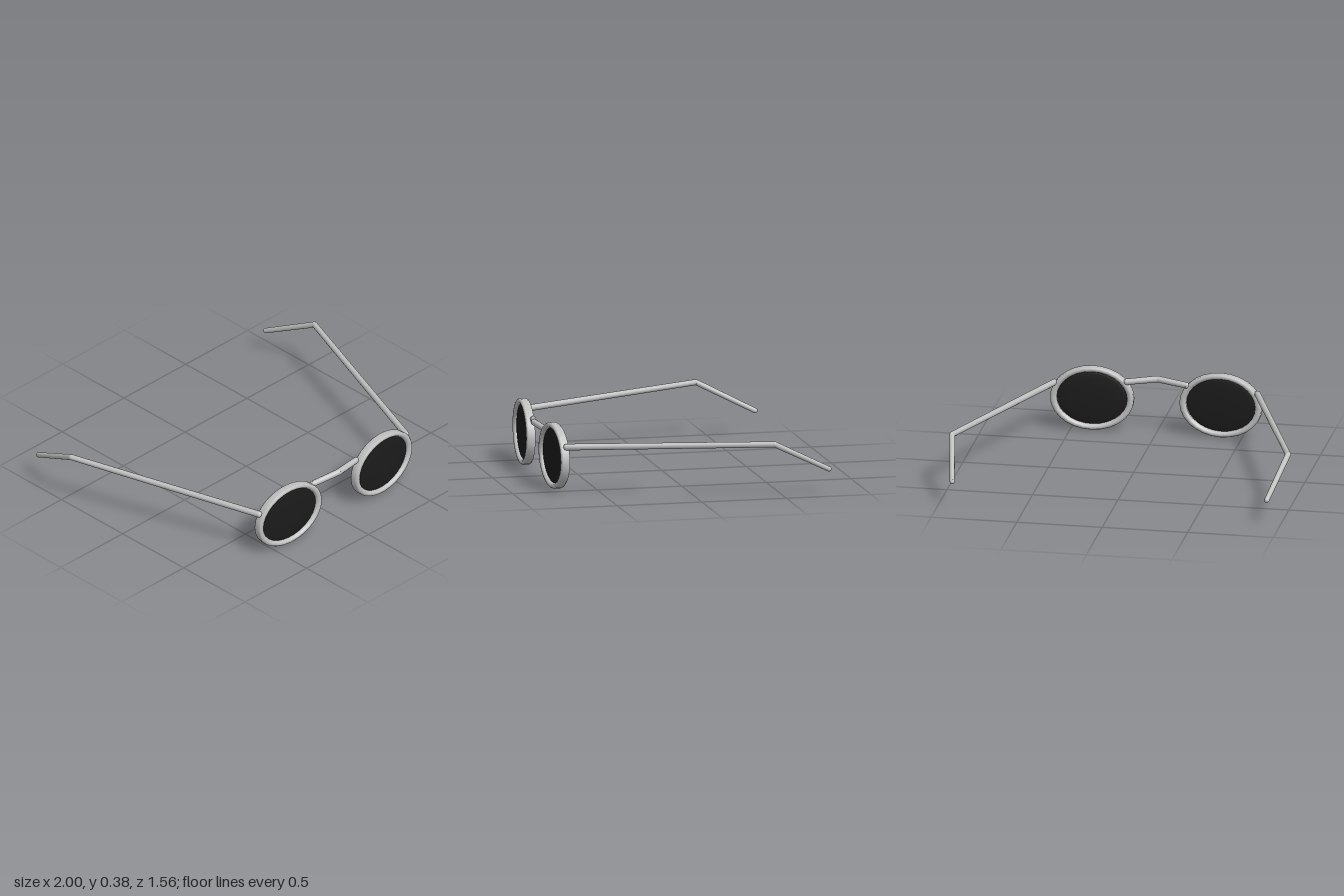
import * as THREE from 'three';

const V = (x, y, z) => new THREE.Vector3(x, y, z);

export function createModel() {
  const model = new THREE.Group();
  model.name = 'roundSunglasses';
  const metal = new THREE.MeshStandardMaterial({ color: 0xc0c0c0 });
  metal.name = 'silver frame';
  const tint = new THREE.MeshStandardMaterial({ color: 0x1b1b1b });
  tint.name = 'dark lens';

  function add(parent, geometry, material, name) {
    const mesh = new THREE.Mesh(geometry, material);
    mesh.name = name;
    parent.add(mesh);
    return mesh;
  }

  // Round wire through the given points, with a ball at each bend and tip
  function wire(name, points, radii) {
    const group = new THREE.Group();
    group.name = name;
    points.forEach((p, i) => {
      const ball = add(group, new THREE.SphereGeometry(radii[i], 12, 8), metal, name + 'Joint');
      ball.position.copy(p);
      if (i === 0) return;
      const a = points[i - 1];
      const dir = p.clone().sub(a);
      const rod = add(group, new THREE.CylinderGeometry(radii[i], radii[i - 1], dir.length(), 12), metal, name + 'Rod');
      rod.position.copy(a).add(p).multiplyScalar(0.5);
      rod.quaternion.setFromUnitVectors(V(0, 1, 0), dir.normalize());
    });
    model.add(group);
  }

  // Rounded rim section: radius as a share of the outer ellipse, depth in units
  const section = [
    [0.84, -0.012], [0.87, -0.023], [0.92, -0.027], [0.97, -0.025], [1, -0.017],
    [1, 0.017], [0.97, 0.025], [0.92, 0.027], [0.87, 0.023], [0.84, 0.012], [0.84, -0.012],
  ].map(([r, d]) => new THREE.Vector2(r, d));
  const rimGeometry = new THREE.LatheGeometry(section, 28).rotateX(Math.PI / 2).scale(0.243, 0.19, 1);

  // Gently domed lens
  const lensGeometry = new THREE.SphereGeometry(1, 28, 12).rotateX(Math.PI / 2).scale(0.21, 0.164, 0.014);

  for (const side of [1, -1]) {
    const label = side > 0 ? 'left' : 'right';
    const eye = new THREE.Group();
    eye.name = label + 'Eyepiece';
    eye.position.set(side * 0.377, 0.2, 0.725);
    eye.rotation.y = side * 0.055;
    add(eye, rimGeometry, metal, label + 'Rim');
    add(eye, lensGeometry, tint, label + 'Lens').position.z = 0.004;
    model.add(eye);

    // Temple arm with its bent ear tip
    wire(label + 'Temple',
      [V(side * 0.594, 0.287, 0.705), V(side * 0.983, 0.325, -0.435), V(side * 0.92, 0.155, -0.77)],
      [0.019, 0.017, 0.015]);
  }

  // Bridge bowed forward and up over the nose
  wire('bridge',
    [V(-0.175, 0.309, 0.72), V(0, 0.325, 0.755), V(0.175, 0.309, 0.72)],
    [0.018, 0.019, 0.018]);

  return model;
}
